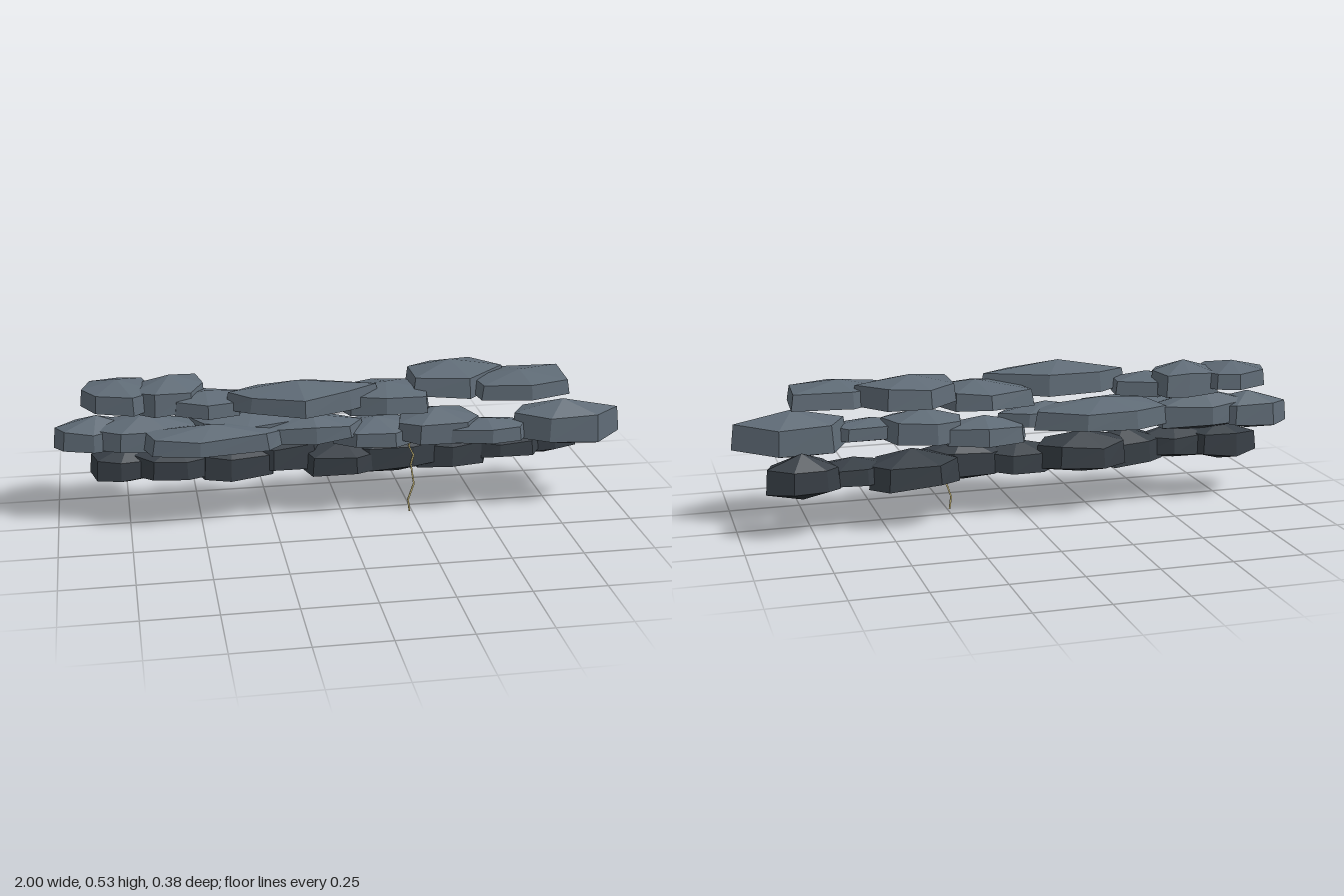
import * as THREE from 'three';

const mat = (name, color) => {
  const m = new THREE.MeshStandardMaterial({ color, flatShading: true });
  m.name = name;
  return m;
};

// Small seeded generator for the facet irregularity
let state = 4711;
const rnd = () => ((state = (state * 16807) % 2147483647) / 2147483647);

// Irregular many-sided footprint that fills the given x and z ranges
function oval(x0, x1, z0, z1) {
  const n = 7, turn = rnd() * 0.8;
  const pts = Array.from({ length: n }, (_, i) => {
    const a = turn + ((i + rnd() * 0.35) / n) * Math.PI * 2;
    return [Math.cos(a), Math.sin(a)];
  });
  [[x0, x1], [z0, z1]].forEach(([lo, hi], k) => {
    const v = pts.map(p => p[k]), a = Math.min(...v), b = Math.max(...v);
    pts.forEach(p => { p[k] = lo + (p[k] - a) / (b - a) * (hi - lo); });
  });
  return pts;
}

// Faceted puff: top peak, shoulder ring, belly ring, bottom peak.
// Group 0 is the top and sides, group 1 the underside.
function puffGeometry(y0, y1, foot) {
  const n = foot.length, h = y1 - y0;
  const cx = foot.reduce((s, p) => s + p[0], 0) / n;
  const cz = foot.reduce((s, p) => s + p[1], 0) / n;
  const ring = (scale, level) => foot.map(([x, z]) => [
    cx + (x - cx) * scale, y0 + h * (level + rnd() * 0.12), cz + (z - cz) * scale]);
  const shoulder = ring(0.95, 0.66), belly = ring(1, 0.14);
  const top = [cx, y1, cz], bottom = [cx, y0, cz], upper = [], under = [];
  for (let i = 0; i < n; i++) {
    const j = (i + 1) % n;
    upper.push(...top, ...shoulder[j], ...shoulder[i]);
    upper.push(...shoulder[i], ...shoulder[j], ...belly[j]);
    upper.push(...shoulder[i], ...belly[j], ...belly[i]);
    under.push(...bottom, ...belly[i], ...belly[j]);
  }
  const g = new THREE.BufferGeometry();
  g.setAttribute('position', new THREE.Float32BufferAttribute([...upper, ...under], 3));
  g.addGroup(0, n * 9, 0);
  g.addGroup(n * 9, n * 3, 1);
  g.computeVertexNormals();
  return g;
}

export function createModel() {
  state = 4711;
  const slate = mat('slate cloud', 0x5f6b76);
  const dark = mat('dark cloud base', 0x383f46);
  const shade = mat('darkest underside', 0x2a3035);
  const yellow = mat('pale lightning', 0xeedb94);
  const root = new THREE.Group();
  root.name = 'stormCloud';

  function tier(name, materials, puffs) {
    const g = new THREE.Group();
    g.name = name;
    for (const [y0, y1, foot] of puffs) {
      const m = new THREE.Mesh(puffGeometry(y0, y1, foot), materials);
      m.name = name + 'Puff';
      g.add(m);
    }
    root.add(g);
  }

  // Each puff: bottom, top, footprint as x and z corners
  tier('upperTier', [slate, dark], [
    [0.40, 0.51, [[-0.63, -0.03], [-0.72, 0.06], [-0.85, 0.02], [-0.90, -0.06],
      [-0.87, -0.15], [-0.76, -0.19], [-0.68, -0.17]]],
    [0.38, 0.52, [[-0.47, -0.06], [-0.52, 0.03], [-0.65, 0.05], [-0.73, -0.01],
      [-0.70, -0.13], [-0.58, -0.16], [-0.49, -0.17]]],
    [0.385, 0.475, [[-0.34, -0.06], [-0.36, 0.06], [-0.47, 0.09], [-0.58, 0.04],
      [-0.60, -0.05], [-0.48, -0.11]]],
    [0.39, 0.52, [[0.13, 0.05], [0.02, 0.12], [-0.15, 0.19], [-0.33, 0.11],
      [-0.41, 0.04], [-0.30, -0.02], [-0.10, -0.04]]],
    [0.37, 0.48, [[0.31, 0.02], [0.29, 0.11], [0.14, 0.13], [0.02, 0.09],
      [-0.04, -0.06], [0.13, -0.13], [0.25, -0.09]]],
    [0.40, 0.527, [[0.60, -0.05], [0.45, 0.07], [0.25, 0.05], [0.25, -0.10],
      [0.35, -0.17], [0.50, -0.16]]],
    [0.41, 0.505, [[0.81, -0.08], [0.80, 0.10], [0.65, 0.15], [0.48, 0.11],
      [0.46, -0.02], [0.60, -0.09]]],
  ]);
  tier('middleTier', [slate, dark], [
    [0.25, 0.39, oval(-1.00, -0.70, -0.13, 0.03)],
    [0.25, 0.40, oval(-0.88, -0.50, -0.13, 0.06)],
    [0.27, 0.38, oval(-0.70, -0.20, -0.01, 0.16)],
    [0.27, 0.40, oval(-0.54, -0.04, -0.15, 0.08)],
    [0.28, 0.38, oval(-0.30, 0.08, -0.05, 0.11)],
    [0.24, 0.35, oval(-0.03, 0.28, -0.11, 0.10)],
    [0.25, 0.385, oval(0.19, 0.49, -0.08, 0.13)],
    [0.265, 0.35, oval(0.36, 0.66, 0.01, 0.165)],
    [0.23, 0.40, [[1.00, 0.07], [0.90, 0.145], [0.72, 0.155], [0.60, 0.08],
      [0.66, -0.02], [0.85, -0.03]]],
  ]);
  tier('lowerTier', [dark, shade], [
    [0.14, 0.28, oval(-0.88, -0.61, -0.12, 0.03)],
    [0.15, 0.28, oval(-0.74, -0.44, -0.10, 0.06)],
    [0.13, 0.28, oval(-0.52, -0.23, -0.11, 0.06)],
    [0.14, 0.29, oval(-0.37, -0.04, -0.165, 0.03)],
    [0.13, 0.26, oval(-0.14, 0.15, -0.10, 0.07)],
    [0.13, 0.28, oval(0.03, 0.37, -0.08, 0.05)],
    [0.12, 0.27, oval(0.24, 0.56, -0.17, 0.04)],
    [0.15, 0.25, oval(0.47, 0.75, -0.13, 0.03)],
    [0.13, 0.29, oval(0.66, 0.91, -0.18, -0.04)],
  ]);

  // Thin zigzag bolt hanging below the cloud
  const bolt = new THREE.Group();
  bolt.name = 'lightningBolt';
  const path = [[0.24, 0.28], [0.235, 0.25], [0.252, 0.215], [0.243, 0.18],
    [0.255, 0.105], [0.235, 0.045], [0.241, 0]];
  for (let i = 0; i < path.length - 1; i++) {
    const [ax, ay] = path[i], [bx, by] = path[i + 1];
    const seg = new THREE.Mesh(
      new THREE.BoxGeometry(0.005, Math.hypot(bx - ax, by - ay), 0.006), yellow);
    seg.position.set((ax + bx) / 2, (ay + by) / 2, 0.057);
    seg.rotation.z = Math.atan2(bx - ax, ay - by);
    seg.name = 'boltSegment';
    bolt.add(seg);
  }
  root.add(bolt);
  return root;
}
